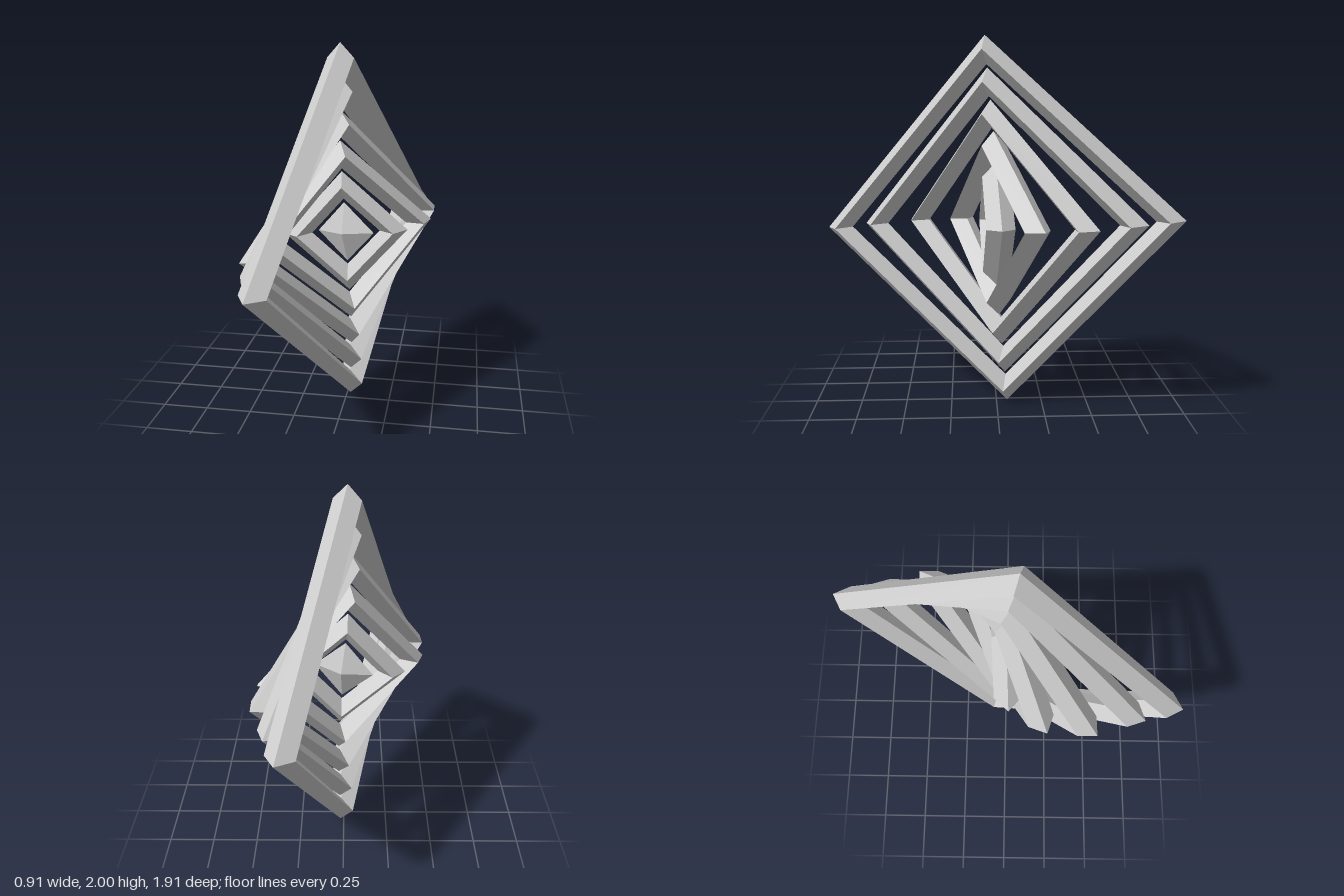
import * as THREE from 'three';

export function createModel() {
  const model = new THREE.Group();
  const material = new THREE.MeshStandardMaterial({ color: 0xcccccc, flatShading: true });
  const roll = 0.063;
  const tube = 0.075;
  const deg = Math.PI / 180;

  function place(mesh, name, turn) {
    mesh.name = name;
    mesh.position.y = 1;
    mesh.rotation.set(0, turn * deg, roll);
    model.add(mesh);
  }

  // Nested four-sided rings, each turned further about the vertical axis
  const turns = [72.7, 64, 47.2, 26.6, 3];
  turns.forEach((turn, i) => {
    const outer = 1 - i / 6;
    const ring = new THREE.TorusGeometry(outer - tube, tube, 4, 4);
    place(new THREE.Mesh(ring, material), `squareRing${i + 1}`, turn);
  });

  // Flattened diamond at the centre
  const core = new THREE.OctahedronGeometry(0.163);
  core.scale(1, 1, 0.35);
  place(new THREE.Mesh(core, material), 'centreDiamond', -15);

  return model;
}
